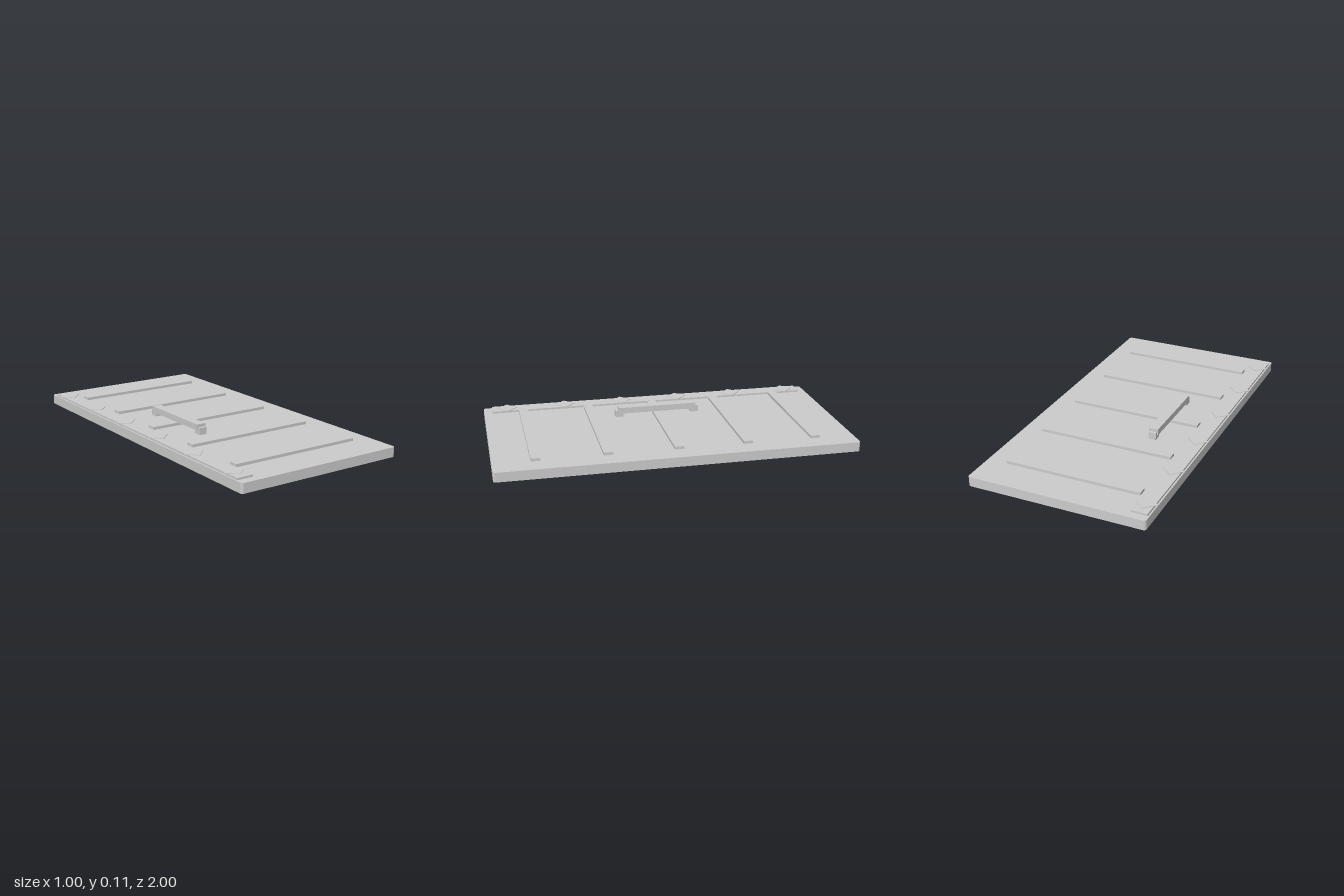
import * as THREE from 'three';

const material = new THREE.MeshStandardMaterial({ color: 0xcccccc, flatShading: true });

export function createModel() {
  const model = new THREE.Group();

  const add = (name, geometry, x, y, z) => {
    const mesh = new THREE.Mesh(geometry, material);
    mesh.name = name;
    mesh.position.set(x, y, z);
    model.add(mesh);
    return mesh;
  };
  // Box given by its limits on each axis
  const block = (name, x0, x1, y0, y1, z0, z1) =>
    add(name, new THREE.BoxGeometry(x1 - x0, y1 - y0, z1 - z0),
      (x0 + x1) / 2, (y0 + y1) / 2, (z0 + z1) / 2);
  // Flat outline laid on the ground plane and raised by a height
  const slab = (shape, height) =>
    new THREE.ExtrudeGeometry(shape, { depth: height, bevelEnabled: false, curveSegments: 3 })
      .rotateX(-Math.PI / 2);

  // Door panel with small rounded corners
  const w = 0.498, l = 1, r = 0.015;
  const outline = new THREE.Shape();
  outline.moveTo(-w + r, -l);
  outline.absarc(w - r, -l + r, r, -Math.PI / 2, 0);
  outline.absarc(w - r, l - r, r, 0, Math.PI / 2);
  outline.absarc(-w + r, l - r, r, Math.PI / 2, Math.PI);
  outline.absarc(-w + r, -l + r, r, Math.PI, Math.PI * 1.5);
  add('panel', slab(outline, 0.054), 0, 0, 0);

  // Five raised cross ribs
  for (let i = -2; i <= 2; i++) {
    const z = i * 0.387 - 0.003;
    block('rib', -0.382, 0.386, 0.05, 0.07, z - 0.026, z + 0.026);
  }

  // Long edge strip with six pointed plates lying across it
  block('edgeStrip', -0.489, -0.398, 0.05, 0.065, -0.955, 0.952);
  const diamond = new THREE.Shape([
    new THREE.Vector2(-0.059, 0), new THREE.Vector2(0, -0.057),
    new THREE.Vector2(0.059, 0), new THREE.Vector2(0, 0.057),
  ]);
  for (let i = 0; i < 6; i++) {
    add('stripPlate', slab(diamond, 0.003), -0.444, 0.0655, -0.866 + i * 0.3455);
  }

  // Pull handle: raised bar on two feet
  block('handleBar', -0.231, -0.178, 0.075, 0.11, -0.231, 0.23);
  for (const s of [-1, 1]) {
    const z = s * 0.225;
    block('handleFoot', -0.226, -0.183, 0.05, 0.093, z - 0.024, z + 0.024);
  }
  return model;
}
